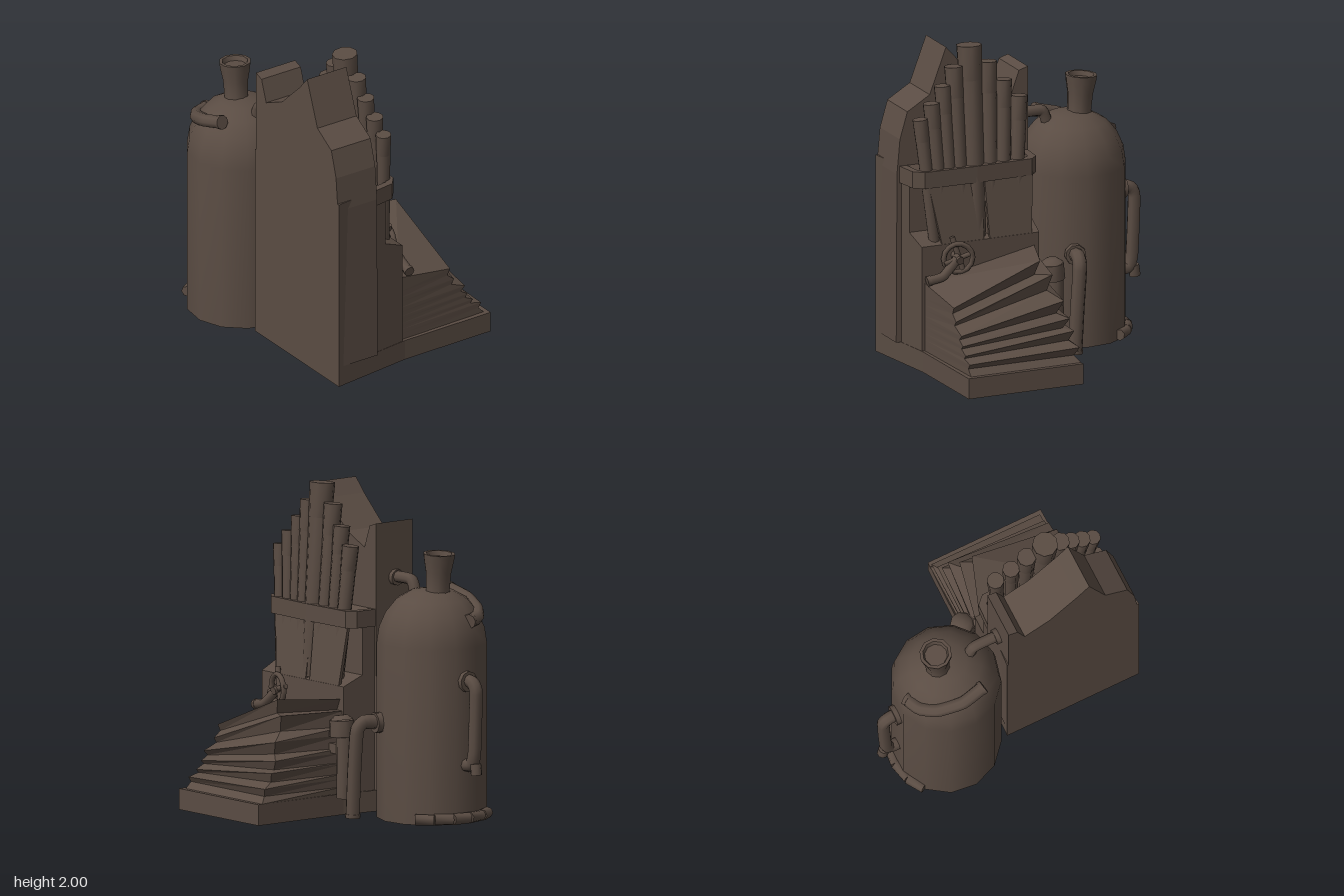
import * as THREE from 'three';
import { toCreasedNormals } from 'three/addons/utils/BufferGeometryUtils.js';

const V = (x, y, z) => new THREE.Vector3(x, y, z);

export function createModel() {
  const model = new THREE.Group();
  const umber = new THREE.MeshStandardMaterial({ color: 0x5a4c43, side: THREE.DoubleSide });
  umber.name = 'darkUmber';

  const add = (name, geo, parent = model) => {
    const mesh = new THREE.Mesh(geo, umber);
    mesh.name = name;
    parent.add(mesh);
    return mesh;
  };
  const group = (name) => {
    const g = new THREE.Group();
    g.name = name;
    model.add(g);
    return g;
  };
  const shape = (pts) => new THREE.Shape(pts.map(([a, b]) => new THREE.Vector2(a, b)));
  const extrude = (pts, depth) =>
    new THREE.ExtrudeGeometry(shape(pts), { depth, bevelEnabled: false });
  // [z, y] outline extruded along x
  const alongX = (pts, x0, x1) =>
    extrude(pts.map(([z, y]) => [-z, y]), x1 - x0).rotateY(Math.PI / 2).translate(x0, 0, 0);
  // [x, z] outline extruded along y
  const alongY = (pts, y0, y1) =>
    extrude(pts.map(([x, z]) => [x, -z]), y1 - y0).rotateX(-Math.PI / 2).translate(0, y0, 0);
  // Cylinder between two points, r0 at the start and r1 at the end
  const rod = (a, b, r0, r1 = r0, sides = 9) => {
    const d = b.clone().sub(a);
    const q = new THREE.Quaternion().setFromUnitVectors(V(0, 1, 0), d.clone().normalize());
    const mid = a.clone().add(b).multiplyScalar(0.5);
    const geo = new THREE.CylinderGeometry(r1, r0, d.length(), sides);
    return toCreasedNormals(geo.applyQuaternion(q).translate(mid.x, mid.y, mid.z), 0.9);
  };
  // Bent pipe with closed ends
  const bentPipe = (name, pts, r, parent) => {
    const curve = new THREE.CatmullRomCurve3(pts, false, 'catmullrom', 0.25);
    add(name, new THREE.TubeGeometry(curve, pts.length * 5, r, 8), parent);
    for (const [p, q] of [[pts[0], pts[1]], [pts.at(-1), pts.at(-2)]]) {
      const dir = q.clone().sub(p).normalize().multiplyScalar(0.012);
      add(name + 'End', rod(p.clone().sub(dir), p.clone().add(dir), r * 1.08), parent);
    }
  };

  // Plinth, slightly wider at the back
  add('plinth', alongY([[-0.49, -0.04], [-0.2, -0.03], [0.03, 0], [0.69, 0.01],
    [0.69, 0.78], [0.05, 0.79], [-0.49, 0.86]], 0, 0.13));

  // Cabinet body: side outline in x and y, fitted to the tapered plan
  const body = extrude([[-0.49, 0.13], [0.03, 0.13], [0.03, 0.79], [-0.11, 0.85],
    [-0.11, 1.14], [-0.2, 1.25], [-0.49, 1.25]], 1);
  const pos = body.attributes.position;
  for (let i = 0; i < pos.count; i++) {
    const t = (pos.getX(i) + 0.49) / 0.52;
    pos.setZ(i, THREE.MathUtils.lerp(-0.04 + 0.04 * t, 0.86 - 0.07 * t, pos.getZ(i)));
  }
  body.computeVertexNormals();
  add('cabinetBody', body);

  // Tall peaked back of the cabinet
  add('cabinetBack', alongX([[-0.04, 0.13], [0.855, 0.13], [0.85, 1.2], [0.83, 1.42], [0.78, 1.59],
    [0.63, 1.68], [0.52, 1.97], [0.44, 1.88], [0.25, 1.7], [0.08, 1.62], [0.03, 1.76],
    [-0.03, 1.78], [-0.03, 1.3]], -0.49, -0.2));

  // Curved band holding the pipes
  add('pipeBand', alongY([[-0.25, 0.84], [-0.06, 0.81], [-0.01, 0.75], [0, 0.4], [-0.01, 0.03],
    [-0.06, -0.02], [-0.25, -0.03], [-0.25, 0.01], [-0.07, 0.03], [-0.05, 0.08], [-0.045, 0.4],
    [-0.05, 0.73], [-0.08, 0.77], [-0.25, 0.79]], 1.145, 1.25));

  // Leaning fan of organ pipes: [z, top height, radius]
  const organ = group('organPipes');
  [[0.75, 1.57, 0.045], [0.67, 1.66, 0.05], [0.59, 1.76, 0.05], [0.51, 1.87, 0.055], [0.4, 1.99, 0.075],
    [0.28, 1.875, 0.055], [0.18, 1.75, 0.05], [0.08, 1.64, 0.05]].forEach(([z, top, r]) => {
    const lean = (y) => 0.0 - 0.13 * (y - 0.8) / 1.2;
    const foot = V(lean(0.8) - 0.03, 0.8, 0.36 + (z - 0.36) * 0.82);
    const tip = V(lean(top), top, z);
    add('organPipe', rod(foot, tip, r * 0.75, r), organ);
    const collar = foot.clone().lerp(tip, 0.82);
    add('pipeCollar', rod(collar, tip, r * 0.98, r * 1.06), organ);
  });

  // Two leaning panels below the band
  for (const pts of [[[0.72, 1.16], [0.65, 0.78], [0.37, 0.78], [0.365, 1.16]],
    [[0.345, 1.16], [0.33, 0.78], [0.05, 0.78], [0.02, 1.16]]]) {
    const panel = alongX(pts, 0, 0.02);
    const p = panel.attributes.position;
    for (let i = 0; i < p.count; i++) p.setX(i, p.getX(i) + 0.01 - (p.getY(i) - 0.78) * 0.13);
    panel.computeVertexNormals();
    add('frontPanel', panel);
  }

  // Bellows: alternating ridges and folds, [outer x, hinge y, far y, far z]
  const rows = [[0.41, 0.5, 0.73, 0.17], [0.39, 0.46, 0.64, 0.2], [0.44, 0.42, 0.64, 0.1], [0.42, 0.39, 0.54, 0.13],
    [0.52, 0.35, 0.49, 0.06], [0.49, 0.32, 0.41, 0.1], [0.54, 0.29, 0.38, 0.03], [0.52, 0.27, 0.32, 0.07],
    [0.58, 0.24, 0.31, 0.02], [0.56, 0.22, 0.25, 0.05], [0.64, 0.2, 0.22, 0.01], [0.62, 0.17, 0.17, 0.04],
    [0.66, 0.13, 0.13, 0.01]];
  const verts = [], faces = [];
  rows.forEach(([x, yh, yf, zf], i) => {
    const zi = Math.max(0.01, zf - 0.14);
    verts.push(0.02, yh + (i ? 0 : 0.06), 0.77, x, yh, 0.75, x, yf, zf, 0.02, yf - (i ? 0 : 0.02), zi);
    if (!i) return;
    for (let k = 0; k < 4; k++) {
      const a = (i - 1) * 4 + k, b = (i - 1) * 4 + (k + 1) % 4;
      faces.push(a, a + 4, b, b, a + 4, b + 4);
    }
  });
  faces.push(0, 1, 2, 0, 2, 3);
  let bellows = new THREE.BufferGeometry();
  bellows.setAttribute('position', new THREE.Float32BufferAttribute(verts, 3));
  bellows.setIndex(faces);
  bellows = bellows.toNonIndexed();
  bellows.computeVertexNormals();
  add('bellows', bellows);

  // Valve wheel with its stem and clamp
  const valve = group('valve');
  add('valveWheel', new THREE.TorusGeometry(0.09, 0.017, 6, 14)
    .rotateY(Math.PI / 2 - 0.25).translate(0.085, 0.71, 0.57), valve);
  add('wheelSpoke', rod(V(0.09, 0.6, 0.53), V(0.06, 0.84, 0.6), 0.018), valve);
  add('wheelSpoke', rod(V(0.1, 0.74, 0.47), V(0.08, 0.68, 0.66), 0.016), valve);
  bentPipe('valveStem', [V(0.09, 0.59, 0.77), V(0.1, 0.61, 0.68), V(0.08, 0.71, 0.57)], 0.03, valve);
  add('valveAxle', rod(V(0.01, 0.72, 0.57), V(0.12, 0.7, 0.57), 0.025), valve);

  // Boiler with a domed top
  const boiler = group('boiler');
  const profile = [[0, 0], [0.34, 0], [0.34, 0.01], [0.34, 1.08], [0.325, 1.18], [0.285, 1.27],
    [0.22, 1.35], [0.13, 1.4], [0, 1.42]].map(([r, y]) => new THREE.Vector2(r, y));
  add('boilerTank', toCreasedNormals(new THREE.LatheGeometry(profile, 13), 0.8)
    .translate(-0.35, 0, -0.39), boiler);
  const stack = [[0.085, 1.34], [0.075, 1.42], [0.08, 1.52], [0.095, 1.6], [0.1, 1.64], [0.08, 1.64],
    [0.07, 1.61], [0, 1.61]].map(([r, y]) => new THREE.Vector2(r, y));
  add('chimney', toCreasedNormals(new THREE.LatheGeometry(stack, 10), 0.8)
    .rotateX(-0.06).translate(-0.35, 0.0, -0.36), boiler);

  // Pipe curling round the dome
  bentPipe('domePipe', [V(-0.59, 1.37, -0.26), V(-0.61, 1.33, -0.4), V(-0.57, 1.28, -0.55),
    V(-0.5, 1.25, -0.64), V(-0.41, 1.24, -0.68)], 0.042, boiler);

  // Pipe from the dome into the cabinet
  bentPipe('upperPipe', [V(-0.35, 1.3, -0.25), V(-0.35, 1.37, -0.225), V(-0.35, 1.44, -0.19),
    V(-0.35, 1.44, -0.02)], 0.036, boiler);
  add('upperFlange', rod(V(-0.35, 1.435, -0.06), V(-0.35, 1.435, -0.02), 0.05), boiler);
  add('domeFlange', rod(V(-0.35, 1.31, -0.24), V(-0.35, 1.345, -0.23), 0.06), boiler);

  // Pipe down the back of the boiler
  bentPipe('backPipe', [V(-0.35, 0.89, -0.7), V(-0.35, 0.88, -0.78), V(-0.35, 0.82, -0.815),
    V(-0.35, 0.45, -0.8), V(-0.35, 0.37, -0.775), V(-0.35, 0.36, -0.7)], 0.041, boiler);
  add('backFlange', rod(V(-0.35, 0.88, -0.7), V(-0.35, 0.88, -0.75), 0.065), boiler);
  add('backFoot', rod(V(-0.35, 0.31, -0.82), V(-0.35, 0.38, -0.81), 0.035), boiler);

  // Jointed skirt round the rear foot
  const rim = (a) => V(-0.35 + 0.345 * Math.sin(a), 0.036, -0.39 - 0.345 * Math.cos(a));
  for (let i = 0; i < 5; i++) {
    const a = -0.72 + i * 0.34;
    add('footPipe', rod(rim(a), rim(a + 0.34), 0.034, 0.036, 7), boiler);
  }

  // Side pipe dropping to the ground
  bentPipe('sidePipe', [V(-0.04, 0.6, -0.27), V(0.07, 0.61, -0.245), V(0.115, 0.56, -0.235),
    V(0.12, 0.3, -0.215), V(0.12, 0.03, -0.2)], 0.045, boiler);
  add('sideFlange', rod(V(-0.04, 0.6, -0.27), V(0, 0.6, -0.262), 0.065), boiler);

  // Capped cylinder beside the bellows
  add('pumpBody', rod(V(0.09, 0.12, -0.085), V(0.09, 0.5, -0.08), 0.05));
  add('pumpCap', rod(V(0.09, 0.5, -0.06), V(0.09, 0.6, -0.055), 0.08, 0.075));
  add('pumpCapTop', rod(V(0.09, 0.6, -0.055), V(0.09, 0.63, -0.05), 0.075, 0.04));
  add('pumpBracket', new THREE.BoxGeometry(0.06, 0.06, 0.1).translate(0.09, 0.42, -0.02));

  return model;
}
